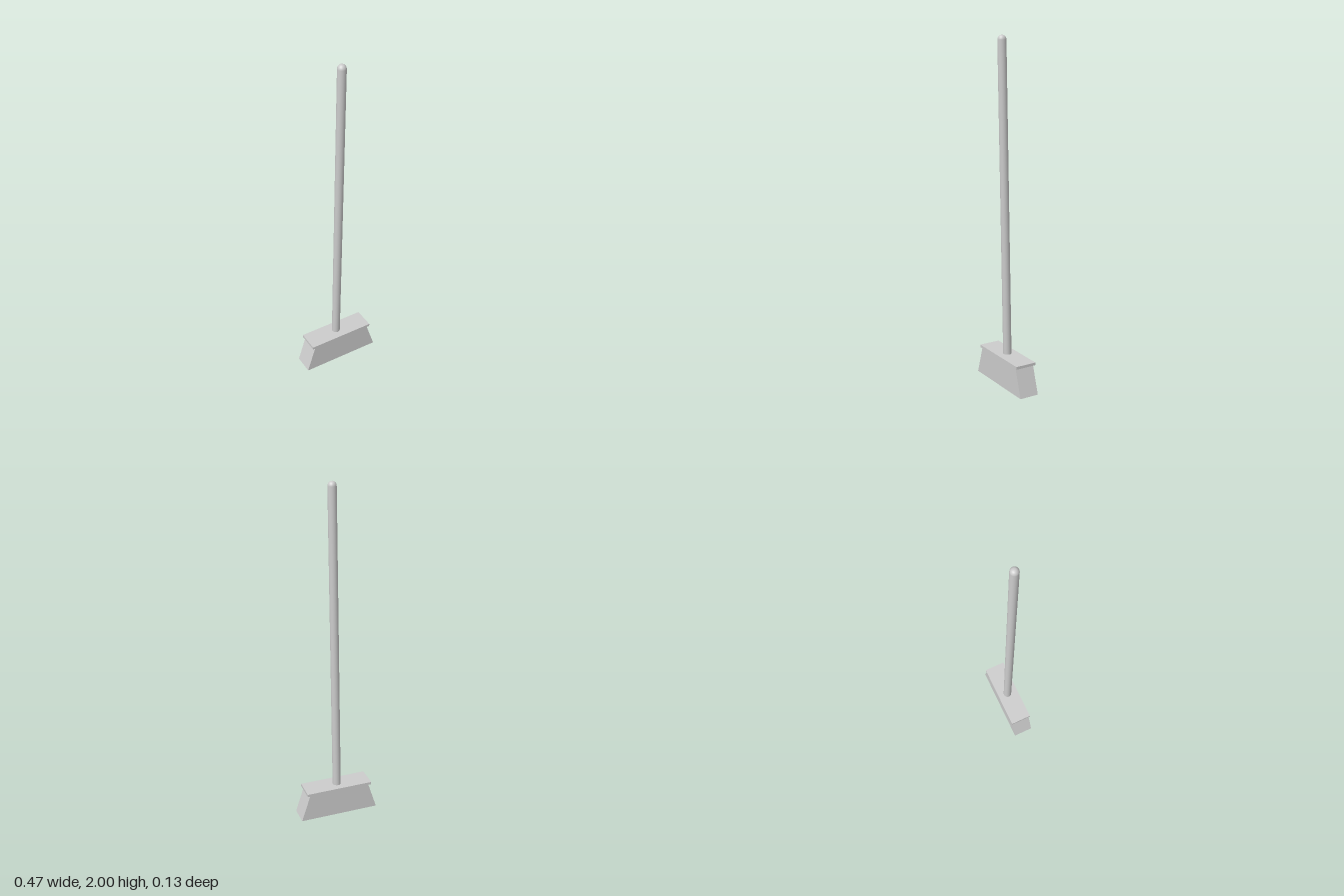
import * as THREE from 'three';

export function createModel() {
  const model = new THREE.Group();
  const material = new THREE.MeshStandardMaterial({ color: 0xcccccc });
  const add = (name, geometry) => {
    const mesh = new THREE.Mesh(geometry, material);
    mesh.name = name;
    model.add(mesh);
    return mesh;
  };

  // Bristle block: a trapezoid flaring towards the floor
  const outline = new THREE.Shape([
    new THREE.Vector2(-0.237, 0),
    new THREE.Vector2(0.237, 0),
    new THREE.Vector2(0.184, 0.165),
    new THREE.Vector2(-0.184, 0.165),
  ]);
  const bristles = add('bristles', new THREE.ExtrudeGeometry(outline, { depth: 0.117, bevelEnabled: false }));
  bristles.position.z = -0.059;

  // Flat board that holds the bristles
  const board = add('headBoard', new THREE.BoxGeometry(0.402, 0.016, 0.127));
  board.position.set(0, 0.173, -0.001);

  // Leaning pole with a rounded tip
  const base = new THREE.Vector3(-0.002, 0.17, -0.004);
  const tip = new THREE.Vector3(0.009, 2, 0.038);
  const length = base.distanceTo(tip);
  const radius = 0.0245;
  const profile = [new THREE.Vector2(0, 0), new THREE.Vector2(radius, 0)];
  for (let i = 0; i <= 4; i++) {
    const a = (i / 4) * 1.24;
    profile.push(new THREE.Vector2(radius * Math.cos(a), length - radius + (radius * Math.sin(a)) / Math.sin(1.24)));
  }
  profile.push(new THREE.Vector2(0, length));
  const handle = add('handle', new THREE.LatheGeometry(profile, 24));
  handle.position.copy(base);
  handle.quaternion.setFromUnitVectors(new THREE.Vector3(0, 1, 0), tip.clone().sub(base).normalize());

  return model;
}
